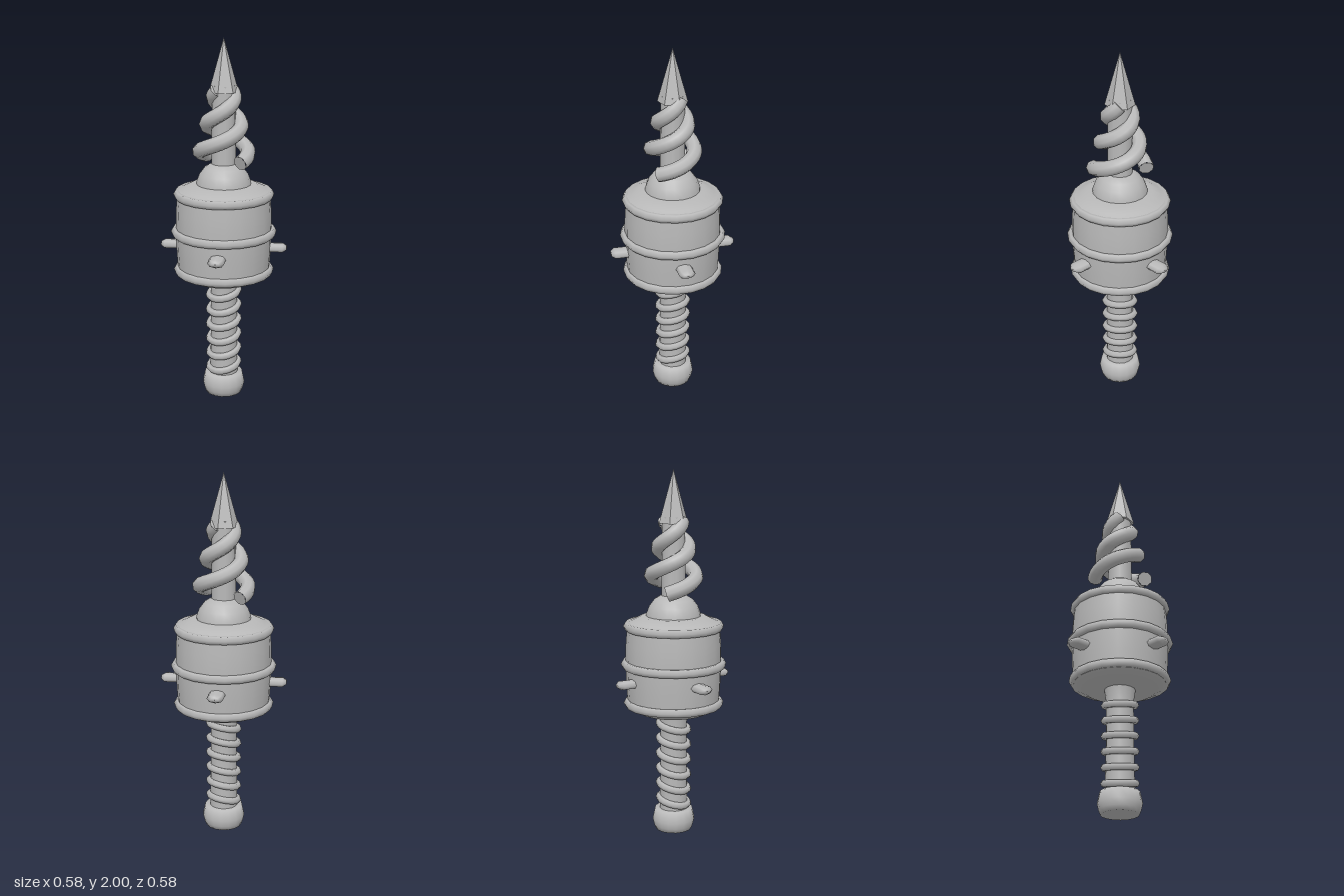
import * as THREE from 'three';

const metal = new THREE.MeshStandardMaterial({ color: 0xb8b8b8 });
metal.name = 'grey metal';
const facetedMetal = metal.clone();
facetedMetal.name = 'faceted grey metal';
facetedMetal.flatShading = true;

export function createModel() {
  const model = new THREE.Group();

  const add = (name, geometry, material = metal, parent = model) => {
    const mesh = new THREE.Mesh(geometry, material);
    mesh.name = name;
    parent.add(mesh);
    return mesh;
  };
  const lathe = (name, points, sides) =>
    add(name, new THREE.LatheGeometry(points.map(([r, y]) => new THREE.Vector2(r, y)), sides));
  const ring = (name, radius, tube, y, tilt = 0, sides = 20) => {
    const mesh = add(name, new THREE.TorusGeometry(radius, tube, 6, sides));
    mesh.rotation.x = Math.PI / 2 + tilt;
    mesh.position.y = y;
    return mesh;
  };

  // Pommel and grip
  lathe('pommel', [[0, 0], [0.1, 0], [0.11, 0.025], [0.118, 0.06], [0.105, 0.12], [0, 0.125]], 16);
  lathe('grip', [[0.078, 0.1], [0.074, 0.35], [0.073, 0.61], [0.085, 0.69]], 16);

  // Slanted grip bands
  for (let i = 0; i < 6; i++) ring('gripBand', 0.082, 0.02, 0.165 + i * 0.086, 0.25, 16);

  // Barrel-shaped housing with three hoops
  lathe('housingBase', [[0, 0.68], [0.19, 0.68], [0.25, 0.712]], 20);
  lathe('housing', [[0.25, 0.71], [0.258, 0.82], [0.263, 0.95], [0.26, 1.07], [0.25, 1.18]], 20);
  lathe('housingLid', [[0.25, 1.18], [0.225, 1.19], [0.175, 1.215], [0, 1.22]], 20);
  ring('topHoop', 0.249, 0.025, 1.16);
  ring('middleHoop', 0.264, 0.025, 0.95);
  ring('bottomHoop', 0.25, 0.025, 0.733);

  // Four flattened studs on the diagonals
  for (let i = 0; i < 4; i++) {
    const holder = new THREE.Group();
    holder.name = 'studHolder';
    holder.position.y = 0.865;
    holder.rotation.y = Math.PI / 4 + i * Math.PI / 2;
    const profile = [[0.045, 0.2], [0.045, 0.325], [0.022, 0.346], [0, 0.346]];
    const stud = add('stud', new THREE.LatheGeometry(
      profile.map(([r, d]) => new THREE.Vector2(r, d)), 8), metal, holder);
    stud.rotation.x = Math.PI / 2;
    stud.scale.z = 0.55;
    model.add(holder);
  }

  // Neck dome, drill shaft and six-sided spike
  lathe('neckDome', [[0.15, 1.2], [0.147, 1.23], [0.132, 1.27], [0.105, 1.305], [0.07, 1.327], [0, 1.33]], 20);
  const shaft = add('drillShaft', new THREE.CylinderGeometry(0.063, 0.067, 0.45, 12));
  shaft.position.y = 1.525;
  const spike = add('spike', new THREE.ConeGeometry(0.08, 0.285, 6), facetedMetal);
  spike.position.y = 1.8575;
  spike.rotation.y = Math.PI / 6;

  // Two tapering spiral flutes with closed ends
  const points = [];
  for (let i = 0; i <= 30; i++) {
    const t = i / 30;
    const a = -Math.PI / 2 + t * Math.PI * 2.5;
    const r = 0.14 - 0.095 * t;
    points.push(new THREE.Vector3(r * Math.sin(a), 1.352 + 0.375 * t, r * Math.cos(a)));
  }
  const path = new THREE.CatmullRomCurve3(points);
  for (const turn of [0, Math.PI]) {
    const flute = new THREE.Group();
    flute.name = 'spiralFlute';
    flute.rotation.y = turn;
    add('fluteCoil', new THREE.TubeGeometry(path, 30, 0.041, 8), metal, flute);
    for (const end of [0, 1]) {
      const cap = add('fluteEnd', new THREE.CircleGeometry(0.041, 8), metal, flute);
      const outward = path.getTangentAt(end).multiplyScalar(end ? 1 : -1);
      cap.quaternion.setFromUnitVectors(new THREE.Vector3(0, 0, 1), outward);
      cap.position.copy(path.getPointAt(end));
    }
    model.add(flute);
  }

  return model;
}
